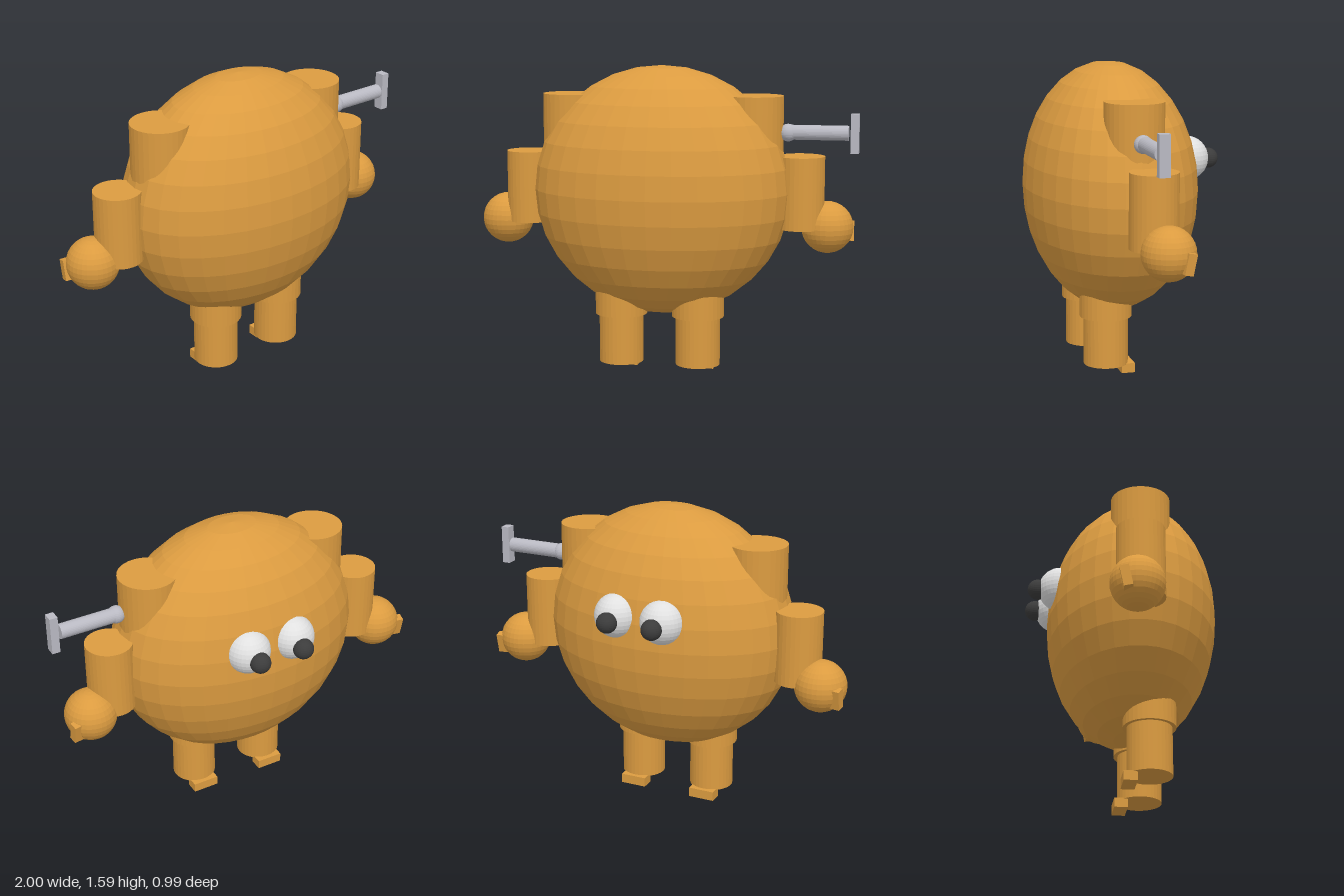
import * as THREE from 'three';

const mat = (name, color) => {
  const m = new THREE.MeshStandardMaterial({ color, flatShading: true });
  m.name = name;
  return m;
};

export function createModel() {
  const orange = mat('orange', 0xdb9b40);
  const metal = mat('metal', 0xb9b9c2);
  const white = mat('eyeWhite', 0xe0e0e0);
  const dark = mat('pupilDark', 0x3c3c3c);

  const model = new THREE.Group();
  model.name = 'windUpCreature';
  const cx = -0.0125; // symmetry plane of the body

  const add = (name, geometry, material, x, y, z) => {
    const mesh = new THREE.Mesh(geometry, material);
    mesh.name = name;
    mesh.position.set(x, y, z);
    model.add(mesh);
    return mesh;
  };
  const ball = (r) => new THREE.SphereGeometry(r, 32, 16);
  // upright cylinder between two heights
  const column = (name, r, y0, y1, x, z) =>
    add(name, new THREE.CylinderGeometry(r, r, y1 - y0, 32), orange, x, (y0 + y1) / 2, z);

  // egg-shaped body
  add('body', ball(1), orange, cx, 0.945, 0.055).scale.set(0.67, 0.645, 0.44);

  for (const [side, s] of [['left', 1], ['right', -1]]) {
    // arm: shoulder, forearm, hand and thumb
    column(side + 'Shoulder', 0.15, 1.07, 1.44, cx + s * 0.478, 0.05);
    column(side + 'Forearm', 0.121, 0.76, 1.133, cx + s * 0.718, 0.019);
    add(side + 'Hand', ball(0.134), orange, cx + s * 0.853, 0.765, -0.014);
    const thumb = add(side + 'Thumb', new THREE.BoxGeometry(0.08, 0.105, 0.045), orange,
      cx + s * 0.945, 0.738, -0.078);
    thumb.rotation.set(-0.2, s * 0.15, 0);

    // leg: thigh, shin and toe
    column(side + 'Thigh', 0.135, 0.3, 0.52, cx + s * 0.203, 0.125);
    column(side + 'Shin', 0.115, 0.045, 0.32, cx + s * 0.203, 0.125);
    add(side + 'Toe', new THREE.BoxGeometry(0.14, 0.05, 0.07), orange, cx + s * 0.203, 0.025, 0.022);

    // bulging eye and pupil
    add(side + 'Eye', ball(0.115), white, cx + s * 0.127, 1.09, -0.327);
    add(side + 'Pupil', ball(0.053), dark, cx + s * 0.123, 1.085, -0.445);
  }

  // winding key: joint, rod and handle
  add('keyJoint', ball(0.045), metal, 0.64, 1.255, 0.055);
  add('keyRod', new THREE.CylinderGeometry(0.038, 0.038, 0.285, 32), metal,
    0.803, 1.257, 0.052).rotation.z = Math.PI / 2;
  add('keyHandle', new THREE.BoxGeometry(0.042, 0.2, 0.054), metal, 0.977, 1.256, 0.055);

  return model;
}
